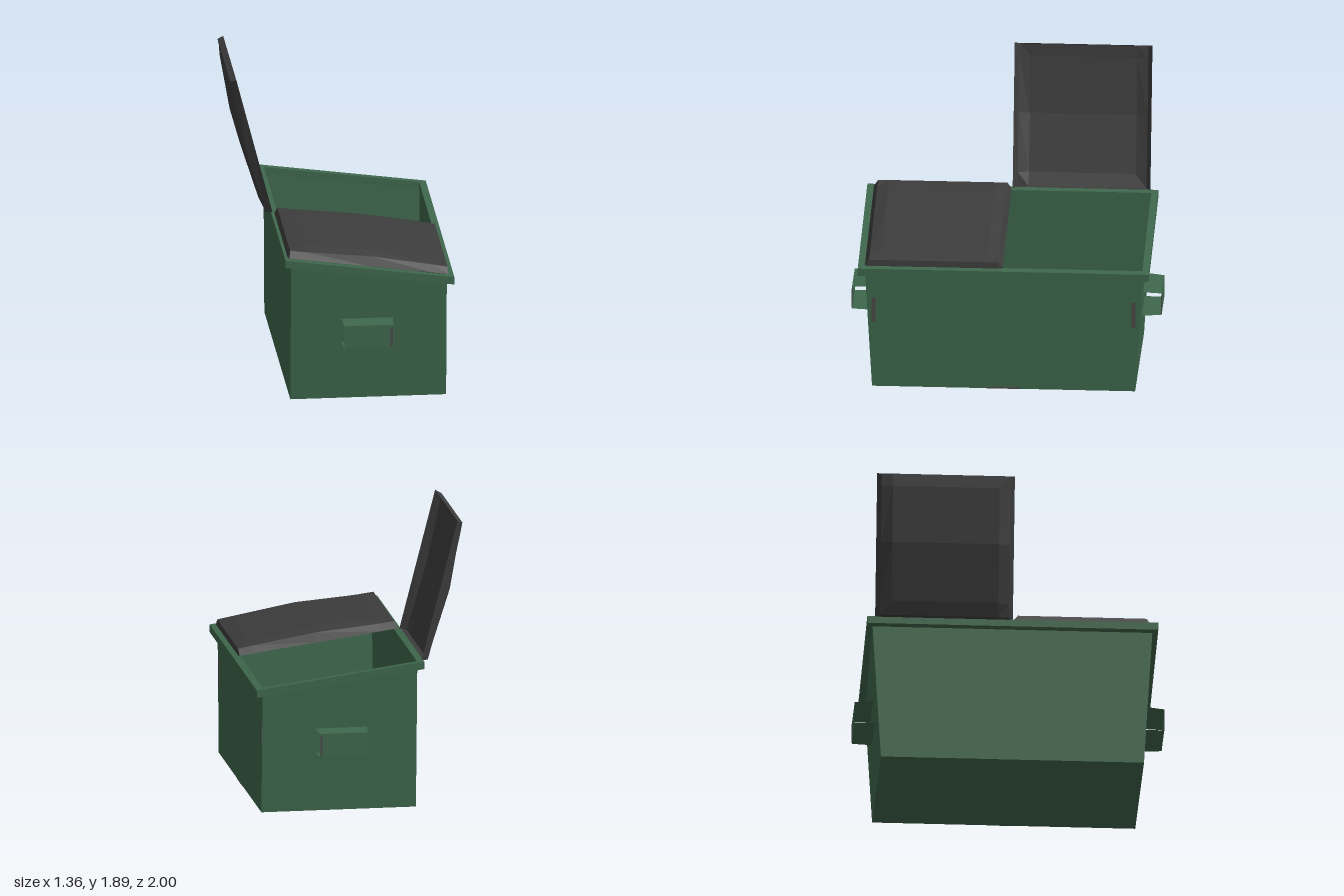
import * as THREE from 'three';

const green = new THREE.MeshStandardMaterial({ color: 0x3e674c, side: THREE.DoubleSide });
green.name = 'green painted steel';
const black = new THREE.MeshStandardMaterial({ color: 0x3d3c3d, side: THREE.DoubleSide });
black.name = 'black plastic';
const worn = new THREE.MeshStandardMaterial({ color: 0x4a4747, side: THREE.DoubleSide });
worn.name = 'worn metal';

const BACK = -0.37, FRONT = 0.64;
const rimTop = (x) => 0.98 - 0.137 * (x + 0.41); // sloping top line
const halfZ = (y) => 0.85 + 0.058 * y;           // end walls lean outwards

// Flat-shaded surface from four-cornered faces
function quads(faces) {
  const pos = [];
  for (const [a, b, c, d] of faces) pos.push(...a, ...b, ...c, ...a, ...c, ...d);
  const g = new THREE.BufferGeometry();
  g.setAttribute('position', new THREE.Float32BufferAttribute(pos, 3));
  g.computeVertexNormals();
  return g;
}

function add(parent, name, geometry, material) {
  const mesh = new THREE.Mesh(geometry, material);
  mesh.name = name;
  parent.add(mesh);
  return mesh;
}

// Open tub with a floor and four walls
function tubGeometry() {
  const corners = [[BACK, 1], [FRONT, 1], [FRONT, -1], [BACK, -1]];
  const low = corners.map(([x, s]) => [x, 0, s * halfZ(0)]);
  const high = corners.map(([x, s]) => {
    const y = rimTop(x) - 0.01;
    return [x, y, s * halfZ(y)];
  });
  const faces = [[low[3], low[2], low[1], low[0]]];
  for (let i = 0; i < 4; i++) {
    const j = (i + 1) % 4;
    faces.push([low[i], low[j], high[j], high[i]]);
  }
  return quads(faces);
}

// Rectangular collar, sheared to follow the slope
function rimGeometry() {
  const rect = (P, x0, x1, z) => {
    const p = new P();
    p.moveTo(x0, -z);
    p.lineTo(x1, -z);
    p.lineTo(x1, z);
    p.lineTo(x0, z);
    p.closePath();
    return p;
  };
  const shape = rect(THREE.Shape, -0.41, 0.685, 0.94);
  shape.holes.push(rect(THREE.Path, BACK + 0.002, FRONT - 0.002, 0.896));
  const g = new THREE.ExtrudeGeometry(shape, { depth: 0.05, bevelEnabled: false });
  g.rotateX(-Math.PI / 2);
  const p = g.attributes.position;
  for (let i = 0; i < p.count; i++) p.setY(i, p.getY(i) + rimTop(p.getX(i)) - 0.05);
  g.computeVertexNormals();
  return g;
}

// Hollow domed lid: x runs from hinge to lip, y is its height, z its width
function lidGeometry(length, width) {
  const us = [0, 0.01, 0.105, 0.51, 0.905, 0.992, 1].map((u) => u * length);
  const crown = [0, 0.045, 0.062, 0.084, 0.055, 0.04, 0];
  const ws = [0, 0.028, 0.1, width - 0.1, width - 0.028, width];
  const point = (i, j) => {
    const edge = Math.min(j, 5 - j);
    let h = crown[i];
    if (edge === 0) h = 0;
    else if (edge === 1) h = i === 3 ? 0.06 : Math.min(h, 0.045);
    return [us[i], h, ws[j]];
  };
  const faces = [];
  for (let i = 0; i < 6; i++)
    for (let j = 0; j < 5; j++)
      faces.push([point(i, j), point(i, j + 1), point(i + 1, j + 1), point(i + 1, j)]);
  return quads(faces);
}

// Folded sheet handle: top, face and bottom, open at both sides
function handleGeometry() {
  const section = [[0.55, 0.88, 0.01], [0.54, 1, 0], [0.39, 1, 0], [0.388, 0.872, 0.01]];
  const faces = [];
  for (let i = 0; i < 3; i++) {
    const [y0, z0, f0] = section[i], [y1, z1, f1] = section[i + 1];
    faces.push([[-0.033 - f0, y0, z0], [-0.033 - f1, y1, z1], [0.283 + f1, y1, z1], [0.283 + f0, y0, z0]]);
  }
  return quads(faces);
}

export function createModel() {
  const model = new THREE.Group();
  model.name = 'dumpster';

  add(model, 'tub', tubGeometry(), green);
  add(model, 'rim', rimGeometry(), green);

  // Closed lid lying along the slope
  const closed = add(model, 'closedLid', lidGeometry(1.05, 0.89), black);
  closed.position.set(-0.39, 0.98, 0.006);
  closed.rotation.z = -Math.atan(0.137);

  // Open lid tipped back past vertical
  const open = add(model, 'openLid', lidGeometry(0.945, 0.89), black);
  open.position.set(-0.4, 0.976, -0.889);
  open.rotation.z = Math.atan2(0.915, -0.235);

  // Handles and worn patches at both ends
  for (const side of [1, -1]) {
    const handle = add(model, side > 0 ? 'frontHandle' : 'backHandle', handleGeometry(), green);
    if (side < 0) handle.scale.z = -1;

    const scuff = add(model, 'cornerScuff', new THREE.BoxGeometry(0.004, 0.17, 0.025), worn);
    scuff.position.set(FRONT + 0.001, 0.53, side * 0.84);

    const strip = add(model, 'handleScuff', new THREE.BoxGeometry(0.015, 0.13, 0.004), worn);
    strip.position.set(0.272, 0.46, side * 1.0);
  }
  const base = add(model, 'baseScuff', new THREE.BoxGeometry(0.004, 0.01, 0.22), worn);
  base.position.set(FRONT + 0.001, 0.005, 0);
  const floor = add(model, 'floorScuff', new THREE.BoxGeometry(0.03, 0.004, 0.24), worn);
  floor.position.set(0.62, 0.004, -0.68);

  return model;
}
